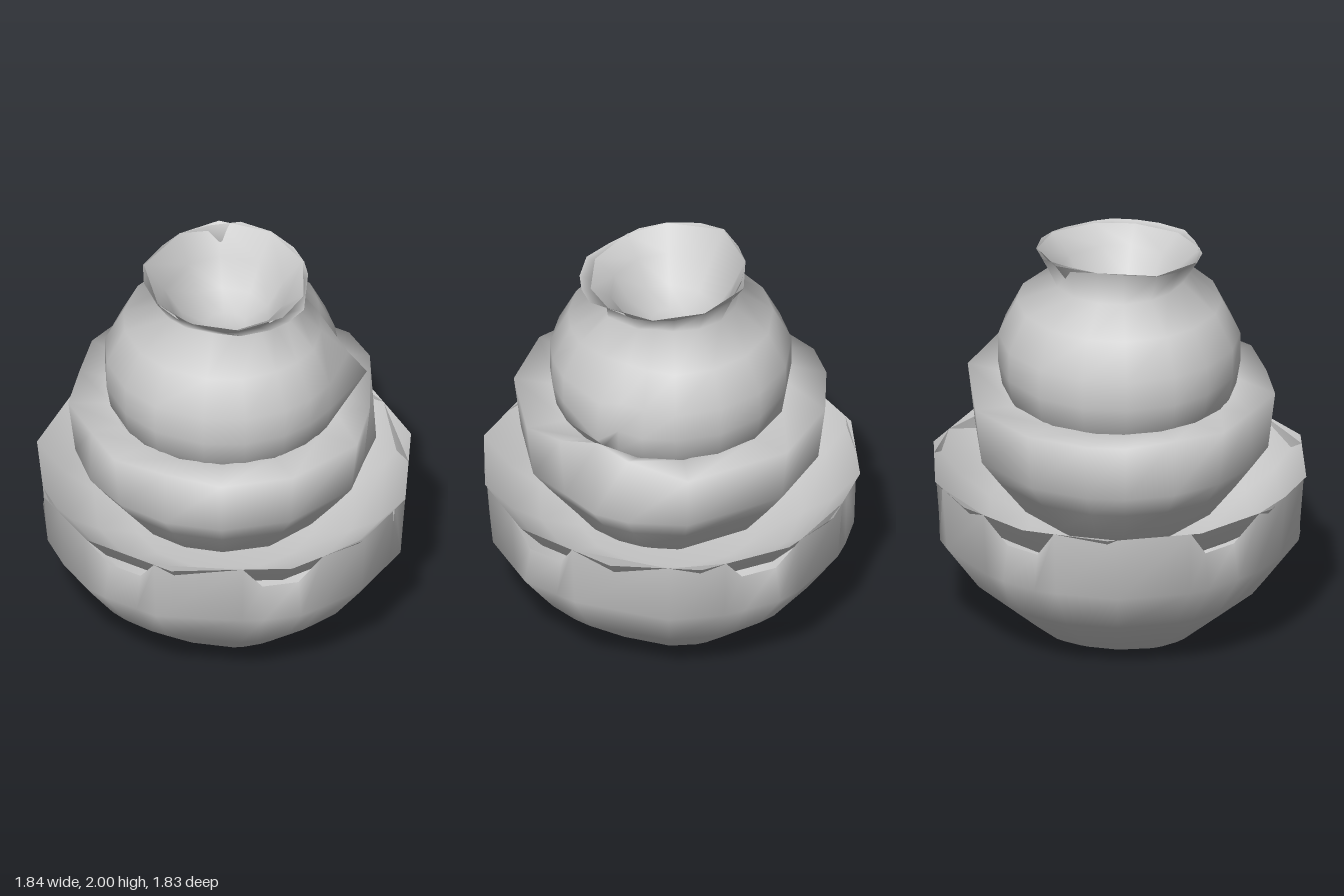
import * as THREE from 'three';

const material = new THREE.MeshStandardMaterial({ color: 0xcccccc, side: THREE.DoubleSide });
const rad = THREE.MathUtils.degToRad;

// Thin vessel wall: rings of [radius, height] swept over uneven angles (degrees,
// from +x towards +z). adjust(p, angle, ring) may move p = { r, y, deg }.
function vessel(name, angles, rings, adjust = () => {}) {
  const n = angles.length;
  const positions = [0, rings[0][1], 0];
  const index = [];
  rings.forEach(([r, y], k) => {
    angles.forEach((deg, i) => {
      const p = { r, y, deg };
      adjust(p, deg, k);
      const t = rad(p.deg);
      positions.push(p.r * Math.cos(t), p.y, p.r * Math.sin(t));
      const j = (i + 1) % n;
      const a = 1 + k * n + i;
      const b = 1 + k * n + j;
      if (k === 0) index.push(0, a, b);
      if (k < rings.length - 1) index.push(a, a + n, b, b, a + n, b + n);
    });
  });
  const geometry = new THREE.BufferGeometry();
  geometry.setAttribute('position', new THREE.Float32BufferAttribute(positions, 3));
  geometry.setIndex(index);
  geometry.computeVertexNormals();
  const mesh = new THREE.Mesh(geometry, material);
  mesh.name = name;
  return mesh;
}

// Radius factor that puts a point on the straight side between two corners
function chord(deg, corners) {
  const start = corners[0];
  const turned = [...corners, start + 360];
  const d = THREE.MathUtils.euclideanModulo(deg - start, 360) + start;
  const i = turned.findIndex((c) => c > d) - 1;
  const half = (turned[i + 1] - turned[i]) / 2;
  return Math.cos(rad(half)) / Math.cos(rad(d - turned[i] - half));
}

export function createModel() {
  const group = new THREE.Group();
  group.name = 'stackedBrokenPots';

  // Large bowl: outer wall with six chips below the rim, intact sloping lining behind
  const corners = [-80, -56, -36, -7, 21, 54, 79, 104, 141, 171, 196, 224, 253];
  const chips = [48, 106, 160, 214, 283, 332];
  const bowlAngles = chips.flatMap((c) => [c - 13, c - 6, c + 6, c + 13]);
  bowlAngles.push(3, 77, 187, 250);
  bowlAngles.sort((a, b) => a - b);
  group.add(vessel('largeBowl', bowlAngles,
    [[0.42, 0.01], [0.73, 0.27], [0.905, 0.5], [0.93, 0.83]],
    (p, deg, k) => {
      if (k === 0) p.y = 0.006 * (1 + Math.sin(rad(deg * 3)));
      if (k > 1) p.r *= chord(deg, corners);
      if (k === 3 && chips.some((c) => Math.abs(deg - c) < 8)) {
        p.r -= 0.06;
        p.y = 0.68;
      }
    }));
  group.add(vessel('largeBowlLining', corners, [[0.45, 0.5], [0.65, 0.57], [0.8, 0.67], [0.93, 0.83]]));

  // Middle bowl with a flat lip, its rim rising to a point at the front left
  group.add(vessel('middleBowl', [-75, -45, -4, 19, 33, 50, 68, 99, 126, 148, 169, 188, 208, 228, 247, 262],
    [[0.3, 0.5], [0.5, 0.65], [0.64, 0.83], [0.735, 0.96], [0.77, 1.25], [0.56, 1.23]],
    (p, deg, k) => {
      if (k === 4) {
        if (deg === 33) { p.r = 0.705; p.y = 1.37; }
        if (deg === 19) { p.r = 0.73; p.y = 1.325; }
        if (deg === 50) { p.r = 0.73; p.y = 1.3; }
        if (deg === 148 || deg === 188 || deg === 228) p.r = 0.73;
      }
      if ((k === 2 || k === 3) && deg === 50) p.r *= 0.95;
    }));

  // Inner pot: tilted flared mouth; one column slants to form the edge of a crack,
  // the next one steps behind it
  const edge = { 3: [0.69, 33.7], 4: [0.6, 38], 5: [0.476, 46], 6: [0.38, 56], 7: [0.41, 52] };
  const step = { 3: 0.57, 4: 0.545, 5: 0.46, 6: 0.36 };
  group.add(vessel('innerPot', [-93, -69, -45, -22, 0, 16, 29, 37, 65, 80, 95, 115, 135, 160, 180, 203, 222, 246],
    [[0.28, 0.9], [0.45, 1.08], [0.57, 1.25], [0.59, 1.37], [0.59, 1.52], [0.5, 1.7], [0.33, 1.84], [0.405, 1.96]],
    (p, deg, k) => {
      const s = Math.sin(rad(deg));
      if (k === 7) {
        p.y -= 0.04 * s;
        p.r += s > 0.9 ? 0.04 : s < -0.9 ? -0.04 : 0;
      }
      if (k === 6) p.y += 0.02 * s;
      if (deg === 29 && step[k]) p.r = step[k];
      if (deg === 16 && (k === 4 || k === 5)) p.r *= 0.95;
      if (deg === 37 && edge[k]) [p.r, p.deg] = edge[k];
    }));

  // Funnel-shaped inside of the mouth
  group.add(vessel('mouthLining', [-93, -60, -22, 15, 52, 80, 115, 150, 180, 222],
    [[0.1, 1.66], [0.22, 1.72], [0.3, 1.85], [0.4, 1.96]],
    (p, deg, k) => {
      if (k === 3) p.y -= 0.04 * Math.sin(rad(deg));
      if (k === 3 && deg === -93) p.r = 0.365;
    }));

  return group;
}
